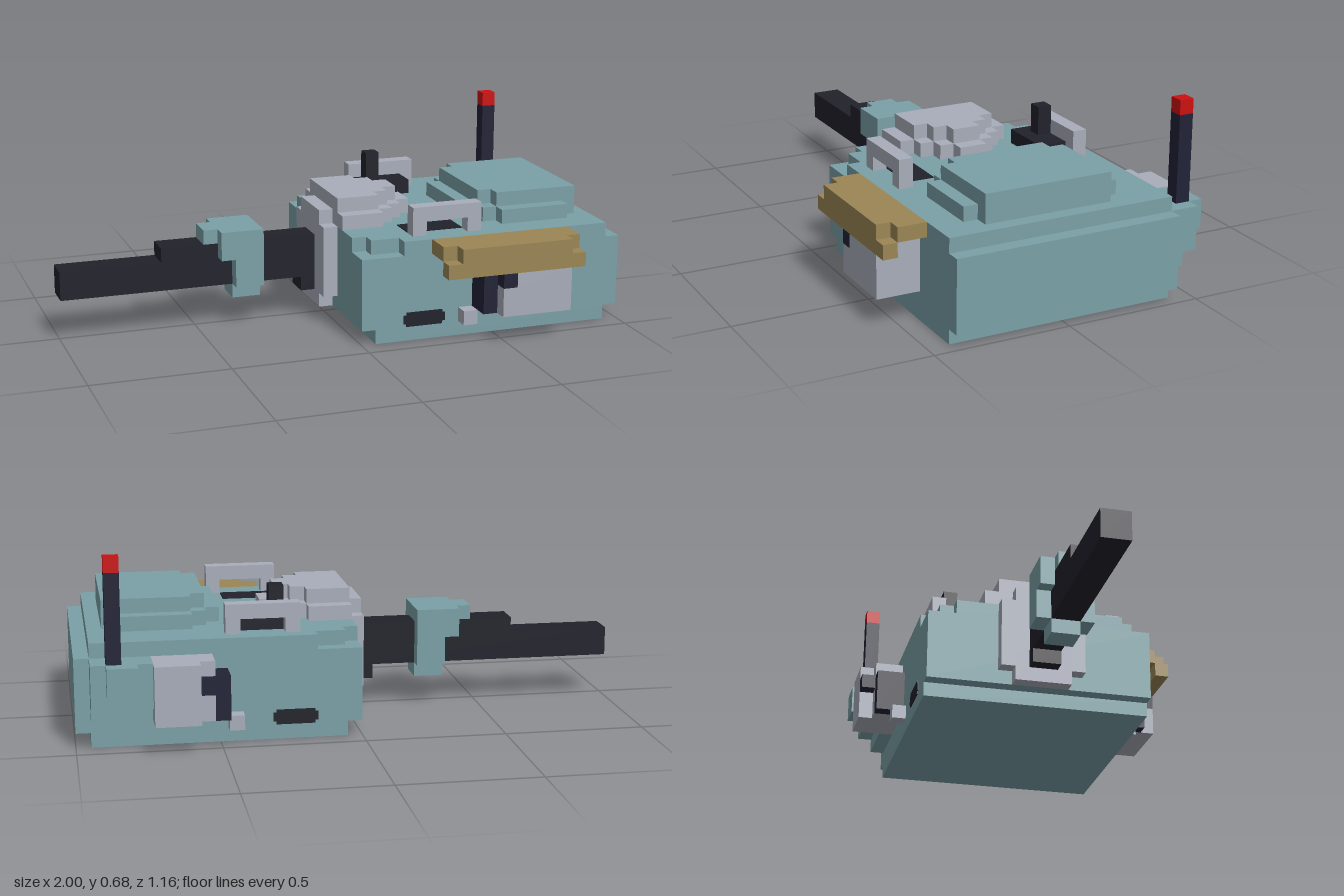
import * as THREE from 'three';

const U = 2 / 38; // one block

const mat = (name, color) => {
  const m = new THREE.MeshStandardMaterial({ color });
  m.name = name;
  return m;
};

export function createModel() {
  const root = new THREE.Group();
  root.name = 'turret';
  const teal = mat('teal armour', 0x7aa0a6);
  const grey = mat('light grey metal', 0xa8adba);
  const dark = mat('near black metal', 0x21212b);
  const navy = mat('dark navy', 0x212236);
  const tan = mat('tan canvas', 0x9b8655);
  const red = mat('red', 0xcc1010);

  // Each box is [x0, x1, y0, y1, z0, z1] in blocks
  const part = (name, material, boxes) => {
    const g = new THREE.Group();
    g.name = name;
    for (const [x0, x1, y0, y1, z0, z1] of boxes) {
      const geo = new THREE.BoxGeometry((x1 - x0) * U, (y1 - y0) * U, (z1 - z0) * U);
      geo.translate((x0 + x1) * U / 2, (y0 + y1) * U / 2, (z0 + z1) * U / 2);
      const m = new THREE.Mesh(geo, material);
      m.name = name;
      g.add(m);
    }
    root.add(g);
  };

  // Hull with stepped base, rear plate and clipped front corners
  part('hull', teal, [
    [1, 18, 0, 1, -8, 8],
    [0, 19, 1, 6, -8, 8],
    [3, 18, 6, 7, -8, 8],
    [1, 3, 6, 7, -7, 7],
    [0, 1, 6, 7, -6, 6],
  ]);

  // Raised roof plate in two stepped layers
  part('roofPlateLower', teal, [
    [9, 17, 7, 8, -3, 4], [10, 17, 7, 8, -4, 5], [11, 16, 7, 8, -5, 6],
  ]);
  part('roofPlateUpper', teal, [
    [10, 17, 8, 9, -3, 4], [11, 17, 8, 9, -4, 5],
  ]);

  // Gun mantlet with stepped dome
  part('mantlet', grey, [[-1, 0, 2, 7, -3, 3], [-1, 0, 1, 8, -2, 2]]);
  part('mantletDome', grey, [
    [0, 3, 7, 8, -4, 4], [0, 4, 7, 8, -3, 3], [0, 5, 7, 8, -2, 2], [0, 6, 7, 8, -1, 1],
    [0, 3, 8, 9, -3, 3], [0, 4, 8, 9, -2, 2], [0, 5, 8, 9, -1, 1],
  ]);

  // Gun barrel and its collar
  part('barrel', dark, [
    [-19, -1, 3, 5, -1, 1], [-12, -8, 5, 6, -1, 1],
    [-5, -1, 5, 6, -1, 1], [-2, -1, 2, 3, -1, 1],
  ]);
  part('barrelCollar', teal, [
    [-9, -8, 6, 7, -1, 1], [-8, -5, 6, 7, -2, 2],
    [-8, -7, 5, 6, -2, 2], [-7, -5, 3, 6, -2, 2], [-7, -5, 2, 3, -1, 1],
  ]);

  // Roof rails and side slots, mirrored
  for (const s of [-1, 1]) {
    const z = s > 0 ? [6, 7] : [-7, -6];
    part(s > 0 ? 'frontRail' : 'backRail', grey, [
      [4, 5, 7, 8, ...z], [8, 9, 7, 8, ...z], [4, 9, 8, 9, ...z],
    ]);
    const slot = s > 0 ? [8, 8.08] : [-8.08, -8];
    part('sideSlot', dark, [[3, 6, 1.2, 1.8, ...slot], [3.2, 5.8, 1, 2, ...slot]]);
  }

  // Hatches and periscope
  part('frontHatch', dark, [[4, 8, 6.95, 7.06, 4, 6]]);
  part('backHatch', dark, [[4, 8, 7, 8, -6, -4]]);
  part('periscope', dark, [[5, 6, 8, 10, -6, -5]]);

  // Front side: stowage box, tan cover, latch
  part('frontStowage', grey, [
    [10, 14, 2, 6, 8, 10], [9, 10, 2, 5, 8, 10],
    [9, 14, 2, 4, 10, 11], [10, 14, 4, 5, 10, 11],
  ]);
  part('stowageCover', tan, [
    [5, 15, 6, 7, 8, 10], [6, 14, 6, 7, 10, 11], [5, 15, 5, 6, 10, 11],
  ]);
  part('frontLatch', navy, [[8, 9, 2, 5, 8, 10], [9, 10, 4, 5, 10, 11]]);
  part('frontStud', grey, [[7, 8, 1, 2, 8, 9]]);

  // Back side: stowage box, latch, antenna base
  part('backStowage', grey, [[10, 14, 2, 6, -10, -8], [11, 14, 2, 6, -11, -10]]);
  part('backLatch', navy, [[9, 10, 2, 5, -10, -8], [10, 11, 4, 5, -11, -10]]);
  part('backStud', grey, [[8, 9, 1, 2, -9, -8]]);
  part('antennaBase', teal, [
    [14, 18, 3, 6, -10, -8], [15, 17, 4, 6, -11, -10], [14, 18, 2, 3, -9, -8],
  ]);

  // Antenna with red tip
  part('antenna', navy, [[16, 17, 6, 12, -10, -9]]);
  part('antennaTip', red, [[16, 17, 12, 13, -10, -9]]);

  return root;
}
